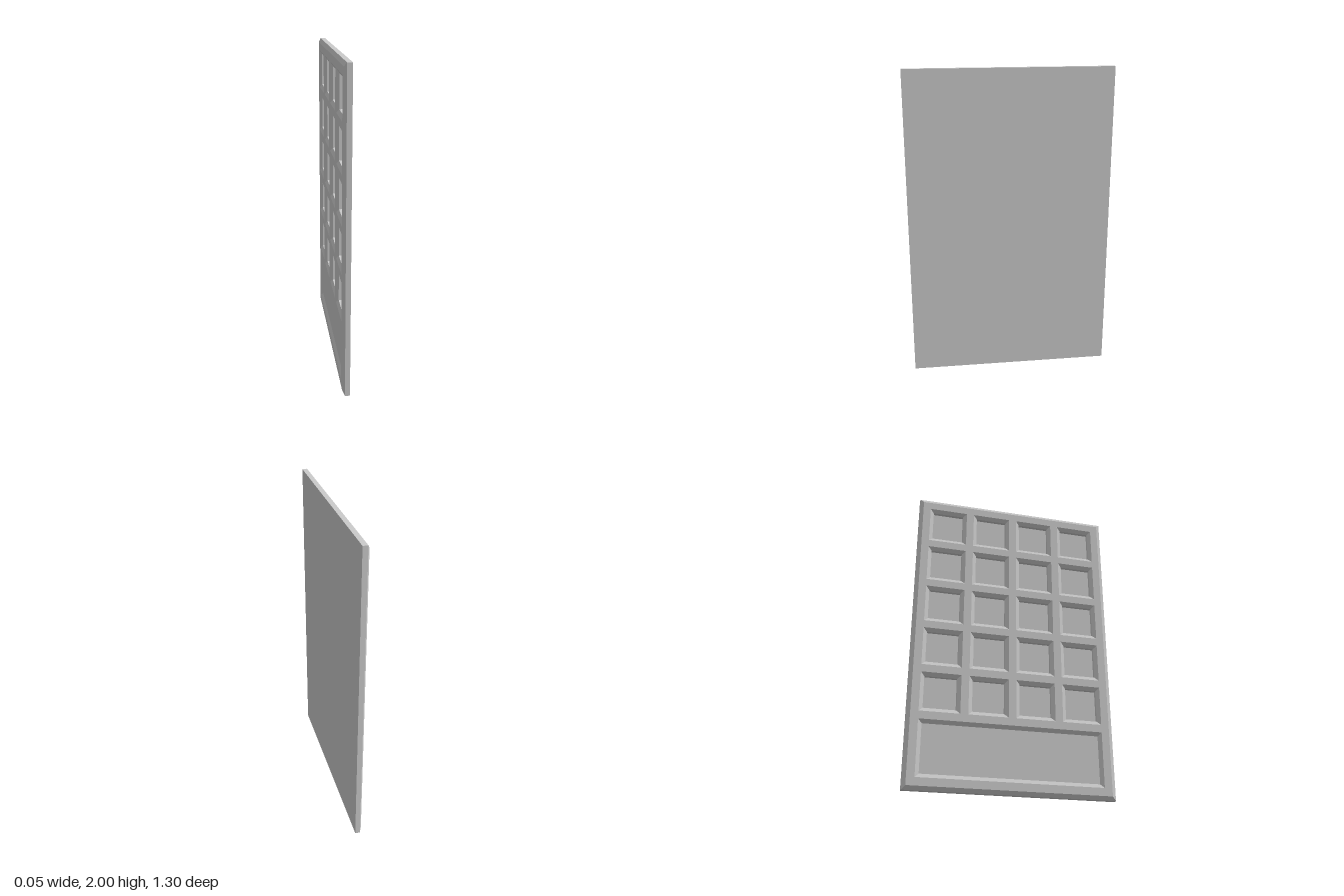
import * as THREE from 'three';

// Door slab, drawn in XY with its panelled face towards local +z, then turned to face -x.
const HALF_W = 0.65, HEIGHT = 2, HALF_T = 0.0225;
const BEVEL = 0.024, BEVEL_DEPTH = 0.014;
const MARGIN = 0.073, GAP = 0.049, COLS = 4, ROWS = 5;
const SHOULDER = HALF_T - BEVEL_DEPTH, PANE_Z = -0.011;

const material = new THREE.MeshStandardMaterial({ color: 0xcccccc, flatShading: true });

// Corners of a rectangle shrunk by an inset, counter-clockwise
function corners([x0, y0, x1, y1], inset, z) {
  const a = x0 + inset, b = y0 + inset, c = x1 - inset, d = y1 - inset;
  return [[a, b, z], [c, b, z], [c, d, z], [a, d, z]];
}

// Mitred moulding: joins rectangular loops given as [inset, z]; cap closes the last loop
function moulding(rect, steps, cap) {
  const loops = steps.map(([inset, z]) => corners(rect, inset, z));
  const points = [];
  const quad = (a, b, c, d) => points.push(...a, ...b, ...c, ...a, ...c, ...d);
  for (let s = 0; s + 1 < loops.length; s++) {
    for (let i = 0; i < 4; i++) {
      const j = (i + 1) % 4;
      quad(loops[s][i], loops[s][j], loops[s + 1][j], loops[s + 1][i]);
    }
  }
  if (cap) quad(...loops[loops.length - 1]);
  const geometry = new THREE.BufferGeometry();
  geometry.setAttribute('position', new THREE.Float32BufferAttribute(points, 3));
  geometry.computeVertexNormals();
  return geometry;
}

const outline = (path, rect, inset = 0) =>
  path.setFromPoints(corners(rect, inset, 0).map(([x, y]) => new THREE.Vector2(x, y)));

export function createModel() {
  const model = new THREE.Group();
  model.name = 'panelDoor';
  const door = new THREE.Group();
  door.name = 'doorSlab';
  door.rotation.y = -Math.PI / 2;
  model.add(door);

  const add = (name, geometry) => {
    const mesh = new THREE.Mesh(geometry, material);
    mesh.name = name;
    door.add(mesh);
    return mesh;
  };

  // Grid of square windows
  const size = (2 * (HALF_W - MARGIN) - (COLS - 1) * GAP) / COLS;
  const pitch = size + GAP;
  const windows = [];
  for (let row = 0; row < ROWS; row++) {
    for (let col = 0; col < COLS; col++) {
      const x = -HALF_W + MARGIN + col * pitch;
      const top = HEIGHT - MARGIN - row * pitch;
      windows.push([x, top - size, x + size, top]);
    }
  }

  // Wide panel under the windows
  const panelTop = HEIGHT - MARGIN - ROWS * pitch;
  const lowerPanel = [-HALF_W + MARGIN, MARGIN, HALF_W - MARGIN, panelTop];

  // Slab sides with the chamfered outer edge
  const slab = [-HALF_W, 0, HALF_W, HEIGHT];
  add('outerEdge', moulding(slab, [[0, -HALF_T], [0, SHOULDER], [BEVEL, HALF_T]], false));

  // Plain flat side
  const plain = add('plainSide', new THREE.PlaneGeometry(2 * HALF_W, HEIGHT));
  plain.position.set(0, HEIGHT / 2, -HALF_T);
  plain.rotation.y = Math.PI;

  // Rails and stiles: one flat face pierced by every opening
  const face = outline(new THREE.Shape(), slab, BEVEL);
  face.holes = [...windows, lowerPanel].map((rect) => outline(new THREE.Path(), rect));
  add('latticeFace', new THREE.ShapeGeometry(face)).position.z = HALF_T;

  // Recessed windows: chamfer, straight reveal and pane
  windows.forEach((rect, i) => add(`windowRecess${i + 1}`,
    moulding(rect, [[0, HALF_T], [BEVEL, SHOULDER], [BEVEL, PANE_Z]], true)));

  // Lower panel: chamfer and shallow sunk field
  add('lowerPanel', moulding(lowerPanel, [[0, HALF_T], [BEVEL, SHOULDER]], true));

  return model;
}
